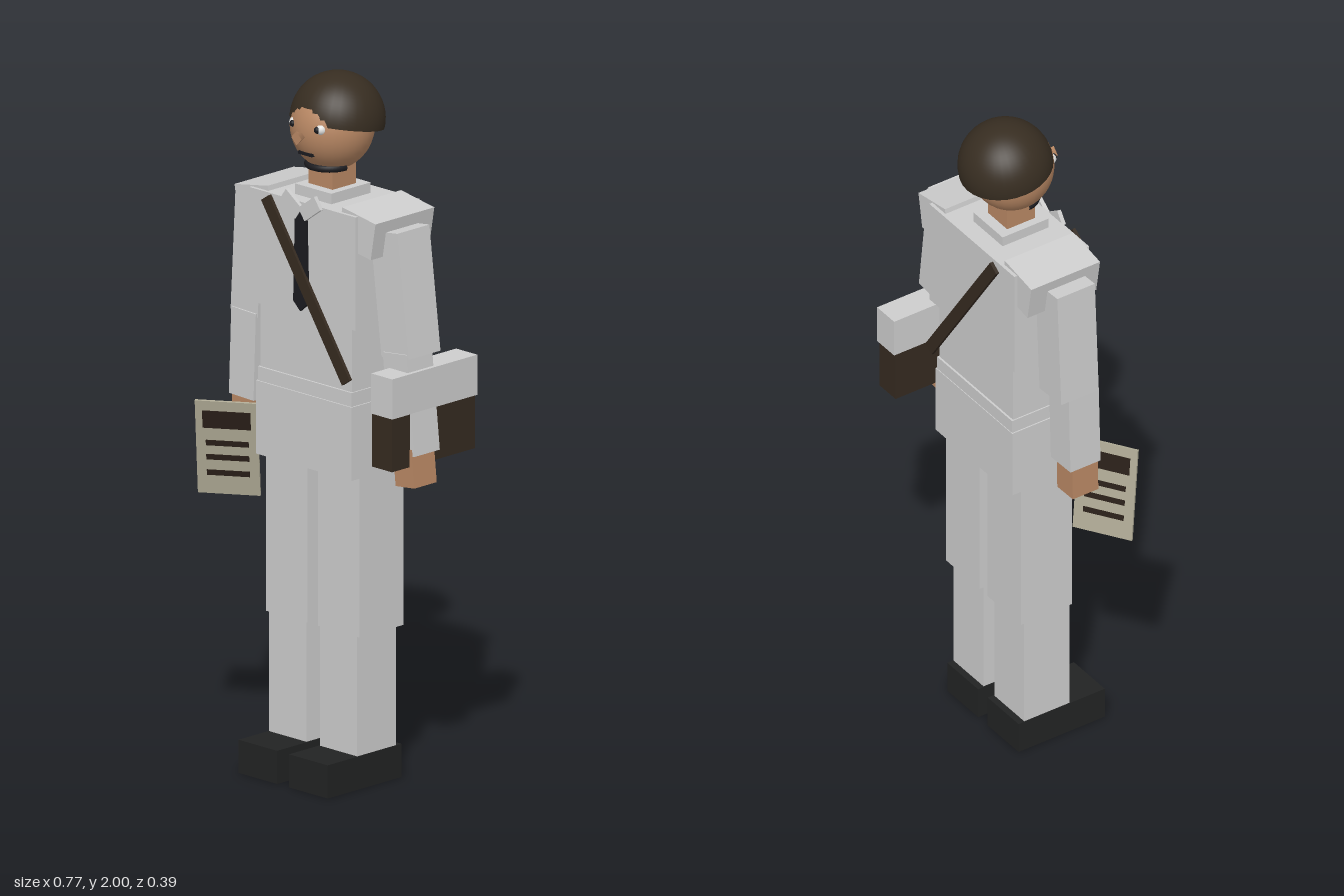
import * as THREE from 'three';

const mat = (name, color, extra = {}) => {
  const m = new THREE.MeshStandardMaterial({ color, ...extra });
  m.name = name;
  return m;
};

export function createModel() {
  const model = new THREE.Group();
  model.name = 'standingMan';
  const cloth = mat('paleGreyCloth', 0xcdcdcd);
  const skin = mat('skin', 0xb98864);
  const hairMat = mat('darkBrownHair', 0x372d21, { side: THREE.DoubleSide });
  const shoeMat = mat('blackShoe', 0x222323);
  const tieMat = mat('blackTie', 0x1b1b1f);
  const leather = mat('brownLeather', 0x352a20);
  const paper = mat('paper', 0xb0ab96);
  const ink = mat('ink', 0x2a1f18);
  const white = mat('eyeWhite', 0xe2e2e0);

  const add = (name, geo, material, x, y, z, parent = model) => {
    const mesh = new THREE.Mesh(geo, material);
    mesh.name = name;
    mesh.position.set(x, y, z);
    parent.add(mesh);
    return mesh;
  };
  // box given by its limits on each axis
  const block = (name, material, x0, x1, y0, y1, z0, z1) =>
    add(name, new THREE.BoxGeometry(x1 - x0, y1 - y0, z1 - z0), material,
      (x0 + x1) / 2, (y0 + y1) / 2, (z0 + z1) / 2);
  // box leaning in the xy plane between a top and a bottom point
  const limb = (name, material, top, bottom, w, d, z) => {
    const dx = top[0] - bottom[0], dy = top[1] - bottom[1];
    const m = add(name, new THREE.BoxGeometry(w, Math.hypot(dx, dy), d), material,
      (top[0] + bottom[0]) / 2, (top[1] + bottom[1]) / 2, z);
    m.rotation.z = -Math.atan2(dx, dy);
    return m;
  };

  // torso
  block('chest', cloth, -0.205, 0.205, 1.33, 1.655, -0.132, 0.117);
  block('waist', cloth, -0.177, 0.177, 1.14, 1.33, -0.117, 0.102);
  block('belt', cloth, -0.181, 0.181, 1.1, 1.145, -0.123, 0.108);
  block('jacketSkirt', cloth, -0.185, 0.185, 0.895, 1.105, -0.125, 0.112);
  block('collar', cloth, -0.07, 0.07, 1.65, 1.685, -0.078, 0.075);
  block('neck', skin, -0.046, 0.046, 1.64, 1.76, -0.046, 0.046);

  // legs, shoes, shoulders and collar points
  for (const s of [-1, 1]) {
    const side = s > 0 ? 'left' : 'right';
    const pair = (name, m, a, b, ...rest) =>
      block(side + name, m, Math.min(s * a, s * b), Math.max(s * a, s * b), ...rest);
    pair('Thigh', cloth, 0.02, 0.181, 0.438, 0.897, -0.093, 0.077);
    pair('Shin', cloth, 0.026, 0.17, 0.09, 0.44, -0.075, 0.075);
    pair('Shoe', shoeMat, 0.023, 0.172, 0, 0.095, -0.095, 0.192);
    const pad = add(side + 'ShoulderPad', new THREE.BoxGeometry(0.13, 0.108, 0.229), cloth,
      s * 0.199, 1.605, -0.0075);
    pad.rotation.z = -s * 0.17;
    const flap = add(side + 'CollarPoint', new THREE.BoxGeometry(0.075, 0.042, 0.012), cloth,
      s * 0.036, 1.645, 0.121);
    flap.rotation.z = s * 0.62;
  }

  // arms
  limb('leftUpperArm', cloth, [0.258, 1.612], [0.301, 1.26], 0.105, 0.125, -0.002);
  limb('leftForearm', cloth, [0.304, 1.275], [0.334, 0.99], 0.092, 0.1, 0.015);
  limb('leftHand', skin, [0.336, 1.01], [0.347, 0.902], 0.072, 0.088, 0.024);
  limb('rightUpperArm', cloth, [-0.262, 1.615], [-0.281, 1.265], 0.105, 0.125, -0.002);
  limb('rightForearm', cloth, [-0.279, 1.275], [-0.288, 1.025], 0.095, 0.1, 0.015);
  limb('rightHand', skin, [-0.288, 1.03], [-0.291, 0.925], 0.075, 0.085, 0.02);

  // head with a tilted cap of hair
  add('head', new THREE.SphereGeometry(1, 32, 24), skin, 0, 1.854, 0).scale.set(0.116, 0.126, 0.119);
  const hair = add('hair', new THREE.SphereGeometry(0.132, 32, 20, 0, Math.PI * 2, 0, Math.PI * 0.53),
    hairMat, 0, 1.868, -0.02);
  hair.rotation.x = -0.19;
  const nose = add('nose', new THREE.ConeGeometry(0.02, 0.045, 4), skin, 0, 1.843, 0.118);
  nose.rotation.x = -Math.PI / 2;
  for (const s of [-1, 1]) {
    add('eyeWhite', new THREE.SphereGeometry(0.016, 14, 10), white, s * 0.051, 1.869, 0.095);
    add('pupil', new THREE.SphereGeometry(0.01, 12, 8), tieMat, s * 0.047, 1.869, 0.106);
  }
  add('mouth', new THREE.BoxGeometry(0.052, 0.009, 0.012), tieMat, 0, 1.791, 0.101);
  const strapArc = add('chinStrap', new THREE.TorusGeometry(0.06, 0.01, 8, 24, Math.PI), tieMat, 0, 1.745, 0.012);
  strapArc.rotation.x = Math.PI / 2;

  // tie
  const tie = new THREE.Shape([[-0.02, 1.63], [-0.027, 1.37], [0, 1.345], [0.027, 1.37], [0.02, 1.63]]
    .map(([x, y]) => new THREE.Vector2(x, y)));
  add('tie', new THREE.ExtrudeGeometry(tie, { depth: 0.011, bevelEnabled: false }), tieMat, 0, 0, 0.115);

  // diagonal strap, front and back
  limb('frontStrap', leather, [-0.128, 1.645], [0.184, 1.18], 0.036, 0.01, 0.129);
  limb('backStrap', leather, [-0.128, 1.645], [0.184, 1.18], 0.036, 0.01, -0.145);

  // shoulder bag
  block('bagBody', leather, 0.287, 0.364, 0.963, 1.12, -0.188, 0.135);
  block('bagFlap', cloth, 0.285, 0.367, 1.115, 1.23, -0.194, 0.137);

  // printed sheet in the right hand, marked on both faces
  const sheet = new THREE.Group();
  sheet.name = 'printedSheet';
  sheet.position.set(-0.295, 0.888, 0.11);
  sheet.rotation.set(0.16, 0.58, 0, 'YXZ');
  model.add(sheet);
  add('sheet', new THREE.BoxGeometry(0.175, 0.28, 0.008), paper, 0, 0, 0, sheet);
  for (const [y, h] of [[0.085, 0.052], [0.014, 0.016], [-0.029, 0.016], [-0.076, 0.016]]) {
    add('printedBar', new THREE.BoxGeometry(h > 0.03 ? 0.135 : 0.12, h, 0.012), ink, 0, y, 0, sheet);
  }
  return model;
}
